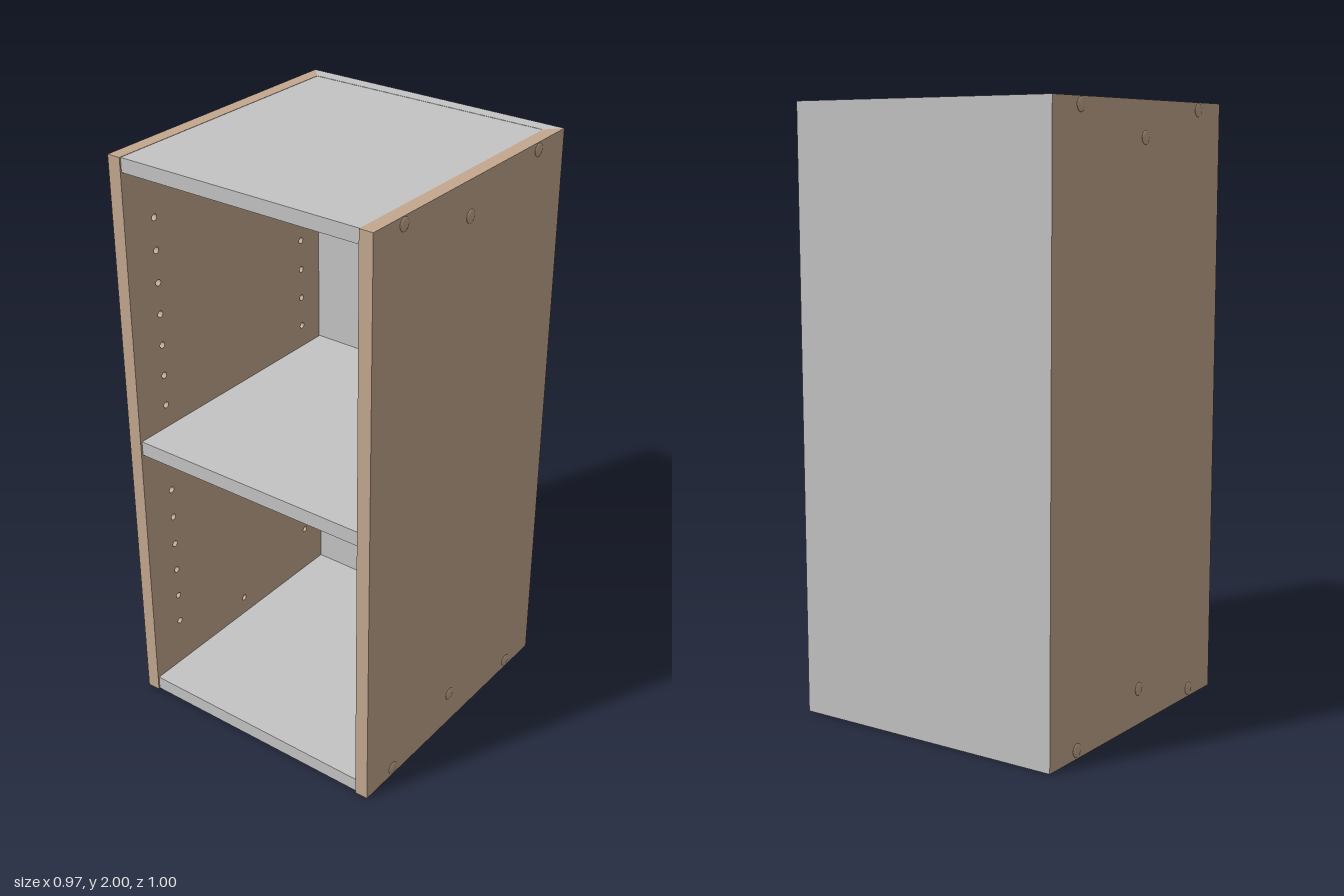
import * as THREE from 'three';

const HALF_W = 0.482, INNER = 0.435, BACK = -0.5, BACK_IN = -0.45, FRONT = 0.5, HEIGHT = 2;
const HOLE_BOTTOM = 0.47; // |x| at which the blind pin holes end

export function createModel() {
  const wood = new THREE.MeshStandardMaterial({ color: 0xc4a88f });
  wood.name = 'tan wood';
  const grey = new THREE.MeshStandardMaterial({ color: 0xc4c4c4 });
  grey.name = 'light grey board';

  const model = new THREE.Group();
  model.name = 'openCabinet';

  const add = (parent, name, geometry, material) => {
    const mesh = new THREE.Mesh(geometry, material);
    mesh.name = name;
    parent.add(mesh);
    return mesh;
  };

  // Positions of the shelf pin holes, plus one screw hole near each end
  const holes = [[0.02, 0.12], [0.02, 1.885]];
  for (let i = 0; i < 15; i++) {
    for (const z of [-0.35, 0.37]) holes.push([z, 0.228 + i * 0.11]);
  }

  // One layer of a side panel between two x values, mitred at its back edge
  const sideLayer = (x0, x1, drilled) => {
    const shape = new THREE.Shape();
    shape.moveTo(-FRONT, 0).lineTo(-BACK_IN, 0).lineTo(-BACK_IN, HEIGHT).lineTo(-FRONT, HEIGHT).closePath();
    if (drilled) {
      for (const [z, y] of holes) {
        shape.holes.push(new THREE.Path().absarc(-z, y, 0.011, 0, Math.PI * 2, true));
      }
    }
    const geo = new THREE.ExtrudeGeometry(shape, { depth: x1 - x0, bevelEnabled: false, curveSegments: 12 });
    geo.rotateY(Math.PI / 2).translate(x0, 0, 0);
    const p = geo.attributes.position;
    const slope = (BACK_IN - BACK) / (HALF_W - INNER);
    for (let i = 0; i < p.count; i++) {
      if (p.getZ(i) < BACK_IN + 0.001) p.setZ(i, BACK_IN - (Math.abs(p.getX(i)) - INNER) * slope);
    }
    geo.computeVertexNormals();
    return geo;
  };

  // Side panels with drilled inner faces and domed screw caps outside
  const caps = [[-0.35, 1.975], [0.355, 1.975], [0.02, 1.885], [0.02, 0.12], [-0.35, 0.028], [0.355, 0.028]];
  for (const s of [1, -1]) {
    const side = new THREE.Group();
    side.name = s > 0 ? 'leftSide' : 'rightSide';
    const span = (a, b) => (s > 0 ? [a, b] : [-b, -a]);
    add(side, 'drilledInnerLayer', sideLayer(...span(INNER, HOLE_BOTTOM), true), wood);
    add(side, 'outerLayer', sideLayer(...span(HOLE_BOTTOM, HALF_W), false), wood);
    for (const [z, y] of caps) {
      const dome = new THREE.SphereGeometry(0.022, 20, 6, 0, Math.PI * 2, 0, Math.PI / 2);
      dome.scale(1, 0.005 / 0.022, 1).rotateZ(-s * Math.PI / 2);
      add(side, 'screwCap', dome, wood).position.set(s * HALF_W, y, z);
    }
    model.add(side);
  }

  // Back panel with mitred upright edges
  const plan = new THREE.Shape();
  plan.moveTo(-INNER, -BACK_IN).lineTo(INNER, -BACK_IN).lineTo(HALF_W, -BACK).lineTo(-HALF_W, -BACK).closePath();
  const back = new THREE.ExtrudeGeometry(plan, { depth: HEIGHT, bevelEnabled: false });
  add(model, 'backPanel', back.rotateX(-Math.PI / 2), grey);

  // Horizontal boards between the sides
  const boardFront = 0.495, depth = boardFront - BACK_IN;
  for (const [name, y0, y1, halfWidth] of [
    ['bottomPanel', 0.003, 0.052, INNER],
    ['middleShelf', 0.978, 1.028, INNER - 0.002],
    ['topPanel', 1.952, 1.999, INNER],
  ]) {
    const board = add(model, name, new THREE.BoxGeometry(halfWidth * 2, y1 - y0, depth), grey);
    board.position.set(0, (y0 + y1) / 2, BACK_IN + depth / 2);
  }

  return model;
}
